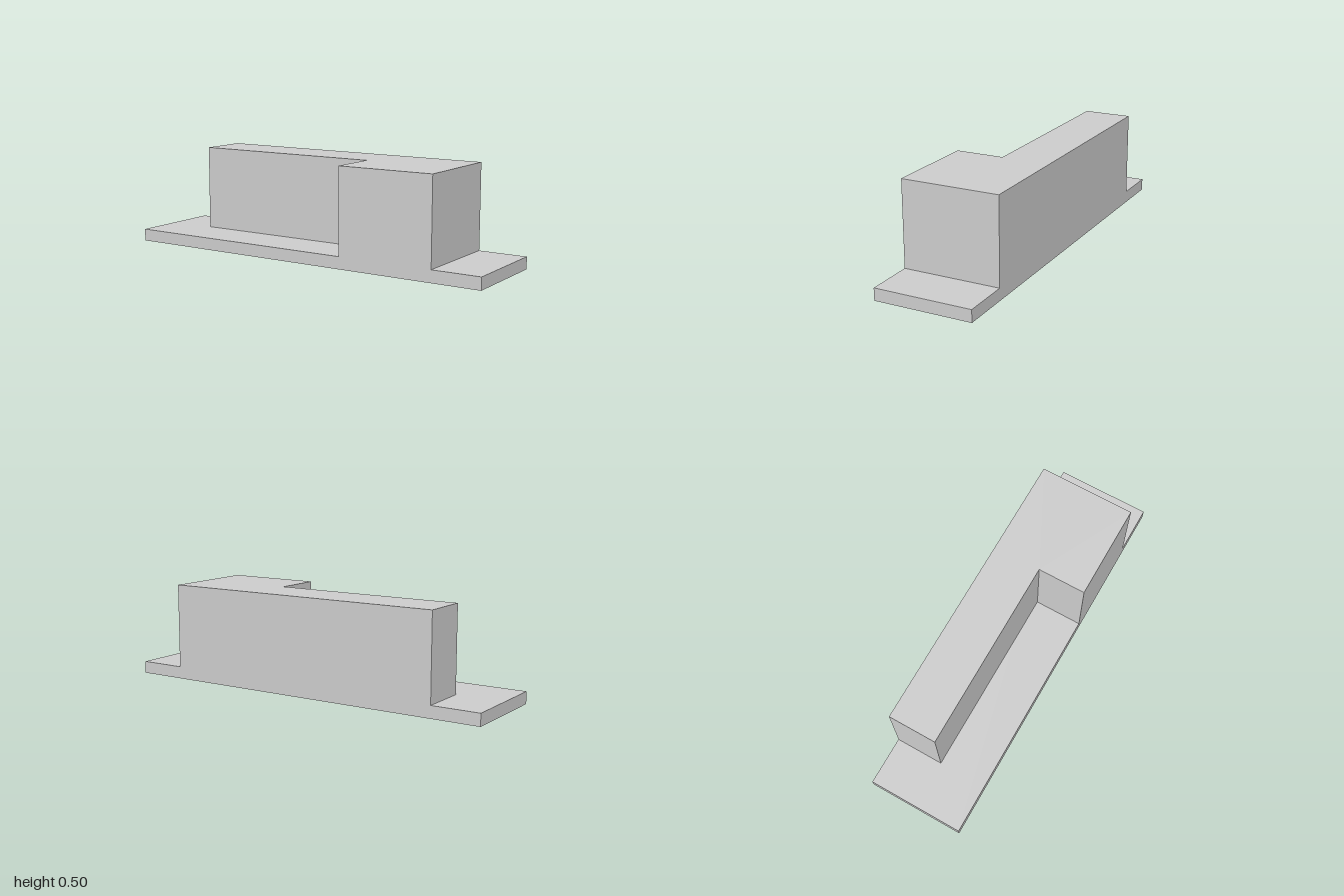
import * as THREE from 'three';

const BASE_HEIGHT = 0.0625;
const TOTAL_HEIGHT = 0.5;

export function createModel() {
  const model = new THREE.Group();
  model.name = 'steppedBlock';
  const material = new THREE.MeshStandardMaterial({ color: 0xcccccc, flatShading: true });

  // Thin base plate
  const basePlate = new THREE.Mesh(new THREE.BoxGeometry(2, BASE_HEIGHT, 0.5), material);
  basePlate.name = 'basePlate';
  basePlate.position.y = BASE_HEIGHT / 2;
  model.add(basePlate);

  // L-shaped block: plan outline as (x, -z), extruded upwards
  const outline = new THREE.Shape([
    [0.25, -0.25], [0.75, -0.25], [0.75, 0.25],
    [-0.75, 0.25], [-0.75, 0], [0.25, 0],
  ].map(([x, y]) => new THREE.Vector2(x, y)));
  const blockGeometry = new THREE.ExtrudeGeometry(outline, {
    depth: TOTAL_HEIGHT - BASE_HEIGHT,
    bevelEnabled: false,
  });
  blockGeometry.rotateX(-Math.PI / 2);
  const upperBlock = new THREE.Mesh(blockGeometry, material);
  upperBlock.name = 'upperBlock';
  upperBlock.position.y = BASE_HEIGHT;
  model.add(upperBlock);

  return model;
}
